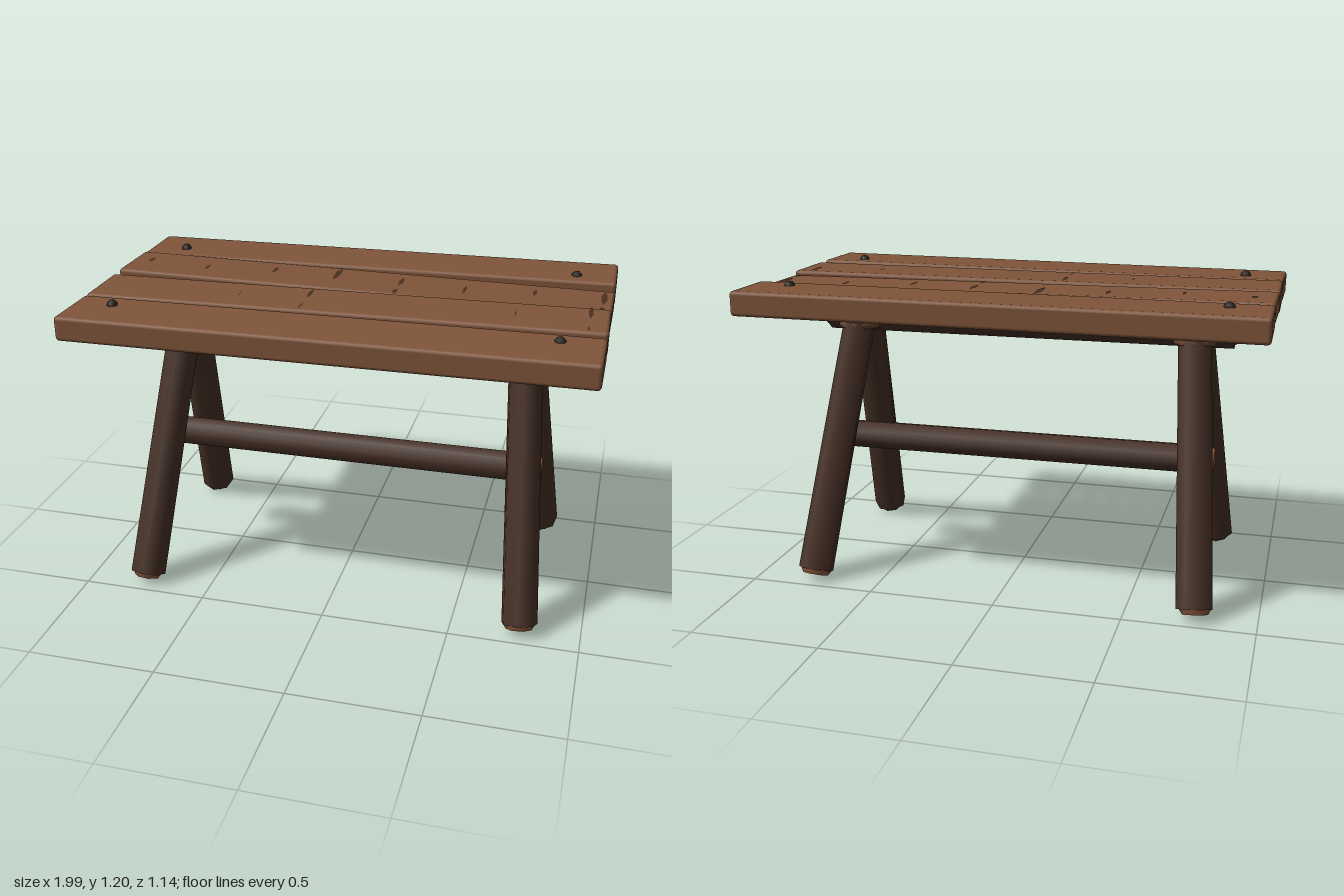
import * as THREE from 'three';
import { RoundedBoxGeometry } from 'three/addons/geometries/RoundedBoxGeometry.js';

const material = (name, color) => Object.assign(new THREE.MeshStandardMaterial({ color }), { name });

export function createModel() {
  const plankWood = material('plank wood', 0x80553a);
  const logBark = material('dark bark', 0x462f25);
  const cutWood = material('cut wood', 0x8b5a3c);
  const ropeBrown = material('rope brown', 0x65432f);
  const iron = material('dark iron', 0x2c2522);
  const crackDark = material('crack dark', 0x4a3022);

  const model = new THREE.Group();
  model.name = 'rusticTable';
  const V = (x, y, z) => new THREE.Vector3(x, y, z);
  const UP = V(0, 1, 0);

  const add = (parent, name, geometry, mat) => {
    const mesh = new THREE.Mesh(geometry, mat);
    mesh.name = name;
    parent.add(mesh);
    return mesh;
  };

  // A seven-sided log from a to b, with bevelled cut ends
  function log(name, a, b, rA, rB, capDepth = 0.02) {
    const group = new THREE.Group();
    group.name = name;
    const dir = b.clone().sub(a);
    const length = dir.length();
    group.position.copy(a).add(b).multiplyScalar(0.5);
    group.quaternion.setFromUnitVectors(UP, dir.normalize());
    add(group, 'bark', new THREE.CylinderGeometry(rB, rA, length, 7), logBark);
    for (const [s, r] of [[1, rB], [-1, rA]]) {
      const cap = add(group, 'cutEnd', new THREE.CylinderGeometry(r * 0.72, r * 0.88, capDepth, 7), cutWood);
      cap.position.y = s * (length + capDepth) / 2;
      if (s < 0) cap.rotation.x = Math.PI;
    }
    model.add(group);
  }

  // Planks: z and y of the centre at the -x and +x ends, width, thickness, cracks [x, z, length, width]
  const planks = [
    { name: 'backPlank', z: [-0.423, -0.443], y: [1.136, 1.147], w: 0.265, t: 0.095, cracks: [] },
    {
      name: 'innerBackPlank', z: [-0.16, -0.14], y: [1.146, 1.131], w: 0.265, t: 0.086,
      cracks: [[-0.91, -0.17, 0.06, 0.024], [-0.65, -0.14, 0.07, 0.014], [-0.37, -0.18, 0.08, 0.02],
        [-0.11, -0.2, 0.16, 0.026], [0.16, -0.17, 0.1, 0.02], [0.16, -0.05, 0.06, 0.02],
        [0.42, -0.14, 0.1, 0.014], [0.69, -0.18, 0.08, 0.016], [0.955, -0.185, 0.16, 0.026],
        [0.955, -0.06, 0.04, 0.02]],
    },
    {
      name: 'innerFrontPlank', z: [0.15, 0.122], y: [1.138, 1.146], w: 0.262, t: 0.092,
      cracks: [[-0.41, 0.14, 0.06, 0.006], [-0.145, 0.075, 0.11, 0.016], [-0.145, 0.22, 0.08, 0.008],
        [0.65, 0.13, 0.07, 0.006], [0.92, 0.065, 0.13, 0.018], [0.92, 0.235, 0.04, 0.008]],
    },
    { name: 'frontPlank', z: [0.42, 0.436], y: [1.135, 1.147], w: 0.265, t: 0.095, cracks: [] },
  ];
  for (const p of planks) {
    const group = new THREE.Group();
    group.name = p.name;
    const zMid = (p.z[0] + p.z[1]) / 2;
    group.position.set(-0.002, (p.y[0] + p.y[1]) / 2, zMid);
    group.rotation.set(0, -(p.z[1] - p.z[0]) / 2, (p.y[1] - p.y[0]) / 2);
    add(group, 'board', new RoundedBoxGeometry(1.985, p.t, p.w, 2, 0.014), plankWood);
    for (const [x, z, len, w] of p.cracks) {
      const h = len / 2, s = w / 2;
      const shape = new THREE.Shape([[0, -h], [s, -h * 0.4], [s * 0.8, h * 0.4], [0, h], [-s, h * 0.3], [-s * 0.7, -h * 0.5]]
        .map(([u, v]) => new THREE.Vector2(u, v)));
      const crack = add(group, 'crack', new THREE.ShapeGeometry(shape), crackDark);
      crack.rotation.x = -Math.PI / 2;
      crack.position.set(x, p.t / 2 + 0.001, z - zMid);
    }
    model.add(group);
  }

  // Nails on the outer planks
  for (const x of [-0.838, 0.832]) {
    for (const z of [-0.383, 0.377]) {
      const nail = add(model, 'nail', new THREE.SphereGeometry(0.022, 8, 6), iron);
      nail.position.set(x, x < 0 ? 1.183 : 1.19, z);
    }
  }

  // Ridge beam under the top and the low stretcher
  log('ridgeBeam', V(-0.835, 1.027, 0), V(0.828, 1.027, 0), 0.07, 0.07);
  log('stretcher', V(-0.76, 0.503, 0), V(0.76, 0.503, 0), 0.059, 0.059);

  // Splayed legs, crossing under the beam
  for (const sx of [-1, 1]) {
    for (const sz of [-1, 1]) {
      log(sz > 0 ? 'frontLeg' : 'backLeg',
        V(sx * 0.765, 0.045, sz * 0.42), V(sx * 0.686, 1.03, sz * 0.035), 0.071, 0.066);
    }
    // Rope lashing: three slightly tilted turns
    [0.988, 1.032, 1.075].forEach((y, i) => {
      const turn = add(model, 'ropeTurn', new THREE.TorusGeometry(0.086, 0.019, 6, 12), ropeBrown);
      turn.rotation.set(Math.PI / 2, (i - 1) * 0.03, 0);
      turn.scale.set(0.95, 1.15, 0.9);
      turn.position.set(sx * 0.69, y, 0);
    });
  }
  return model;
}
